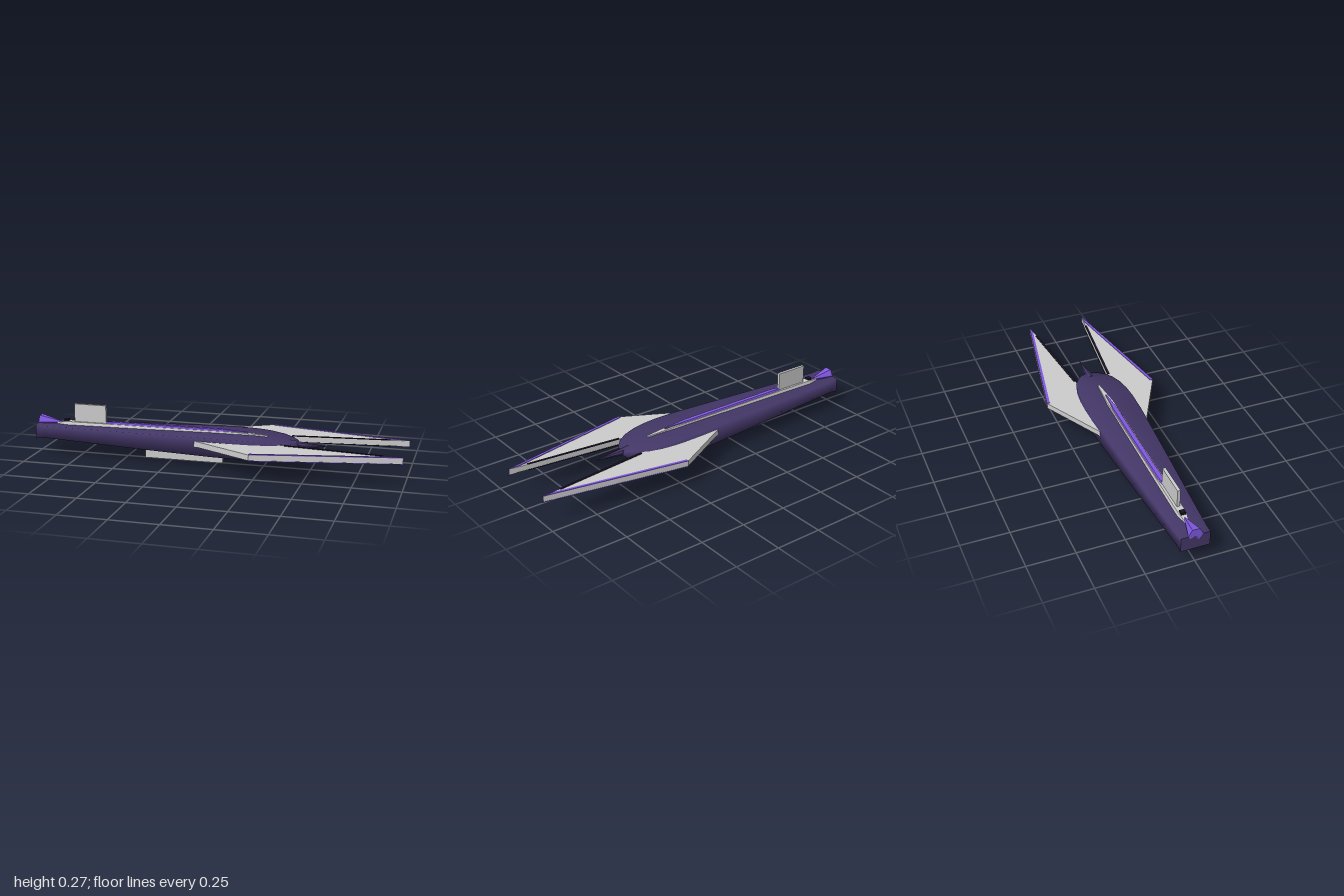
import * as THREE from 'three';

const DARK = 0x443768, BLACK = 0x1a1424, VIOLET = 0x8058e0, GREY = 0xcccccc;

function add(group, name, geometry, color) {
  const mesh = new THREE.Mesh(geometry, new THREE.MeshStandardMaterial({ color }));
  mesh.name = name;
  group.add(mesh);
  return mesh;
}

// Four-cornered sections along x; each row is [x, bottom y, top y, bottom half width, top half width]
function loft(rows, smooth) {
  const pos = [], index = [];
  const ring = ([x, b, t, wb, wt]) => pos.push(x, t, wt, x, t, -wt, x, b, -wb, x, b, wb);
  const quad = (a, b, c, d) => index.push(a, b, c, a, c, d);
  rows.forEach(ring);
  for (let i = 0; i < rows.length - 1; i++) {
    for (let k = 0; k < 4; k++) {
      const n = (k + 1) % 4, p = i * 4, q = p + 4;
      quad(p + k, q + k, q + n, p + n);
    }
  }
  // end caps with their own corners
  const s = rows.length * 4;
  ring(rows[0]);
  ring(rows[rows.length - 1]);
  quad(s, s + 1, s + 2, s + 3);
  quad(s + 4, s + 7, s + 6, s + 5);
  let g = new THREE.BufferGeometry();
  g.setAttribute('position', new THREE.Float32BufferAttribute(pos, 3));
  g.setIndex(index);
  if (!smooth) g = g.toNonIndexed();
  g.computeVertexNormals();
  return g;
}

// Flat plate from an (x, z) outline between two heights
function plate(points, side, y0, y1) {
  const shape = new THREE.Shape(points.map(([x, z]) => new THREE.Vector2(x, z * side)));
  const g = new THREE.ExtrudeGeometry(shape, { depth: y1 - y0, bevelEnabled: false });
  return g.rotateX(Math.PI / 2).translate(0, y1, 0);
}

function box(x0, x1, y0, y1, w) {
  return new THREE.BoxGeometry(x1 - x0, y1 - y0, w).translate((x0 + x1) / 2, (y0 + y1) / 2, 0);
}

export function createModel() {
  const ship = new THREE.Group();
  ship.name = 'ship';

  // Hull
  add(ship, 'hull', loft([
    [-1, 0.08, 0.16, 0.075, 0.075],
    [-0.95, 0.088, 0.154, 0.078, 0.078],
    [-0.75, 0.083, 0.156, 0.09, 0.09],
    [-0.5, 0.077, 0.159, 0.106, 0.106],
    [-0.25, 0.072, 0.163, 0.121, 0.121],
    [0, 0.068, 0.167, 0.135, 0.135],
    [0.12, 0.067, 0.167, 0.137, 0.137],
    [0.2, 0.068, 0.165, 0.134, 0.134],
    [0.27, 0.072, 0.161, 0.125, 0.125],
    [0.34, 0.08, 0.155, 0.105, 0.105],
    [0.39, 0.092, 0.149, 0.076, 0.076],
    [0.42, 0.105, 0.145, 0.045, 0.045],
    [0.435, 0.117, 0.141, 0.02, 0.02],
  ], true), DARK);

  // Prow spike
  const spike = new THREE.ConeGeometry(0.024, 0.2, 8).toNonIndexed();
  spike.computeVertexNormals();
  spike.rotateZ(-Math.PI / 2).translate(0.49, 0.13, 0);
  add(ship, 'prowSpike', spike, DARK);

  // Raised deck and its light strip
  add(ship, 'deck', loft([
    [-0.9, 0.15, 0.162, 0.012, 0.01],
    [-0.84, 0.15, 0.172, 0.027, 0.02],
    [0.1, 0.155, 0.176, 0.025, 0.018],
    [0.27, 0.155, 0.168, 0.007, 0.005],
  ], false), GREY);
  add(ship, 'lightStrip', loft([
    [-0.65, 0.165, 0.179, 0.006, 0.004],
    [-0.58, 0.165, 0.183, 0.018, 0.011],
    [0.02, 0.165, 0.184, 0.018, 0.011],
    [0.16, 0.165, 0.179, 0.004, 0.003],
  ], false), VIOLET);
  add(ship, 'deckBlock', box(-0.86, -0.835, 0.16, 0.182, 0.026), BLACK);

  // Stern flare
  const flare = new THREE.ConeGeometry(0.038, 0.14, 6).toNonIndexed();
  flare.computeVertexNormals();
  flare.rotateX(0).rotateZ(-Math.PI / 2).translate(-0.93, 0.163, 0);
  add(ship, 'sternFlare', flare, VIOLET);

  // Fins
  add(ship, 'topFin', box(-0.8, -0.62, 0.16, 0.27, 0.016), GREY);
  add(ship, 'keelFin', box(-0.4, 0.03, 0, 0.085, 0.016), GREY);

  // Wings with coloured trims on both faces
  for (const side of [1, -1]) {
    const wing = new THREE.Group();
    wing.name = side > 0 ? 'leftWing' : 'rightWing';
    add(wing, 'wingPanel', plate(
      [[-0.1, 0.125], [0.24, 0.305], [0.99, 0.162], [0.89, 0.149], [0.38, 0.094], [0.1, 0.09]],
      side, 0.116, 0.146), GREY);
    for (const [y0, y1] of [[0.113, 0.117], [0.145, 0.149]]) {
      add(wing, 'outerTrim', plate(
        [[0.24, 0.307], [1, 0.161], [0.93, 0.16], [0.24, 0.291]], side, y0, y1), VIOLET);
      add(wing, 'innerTrim', plate(
        [[0.38, 0.092], [0.89, 0.147], [0.89, 0.158], [0.38, 0.105]], side, y0, y1), BLACK);
    }
    ship.add(wing);
  }
  return ship;
}
